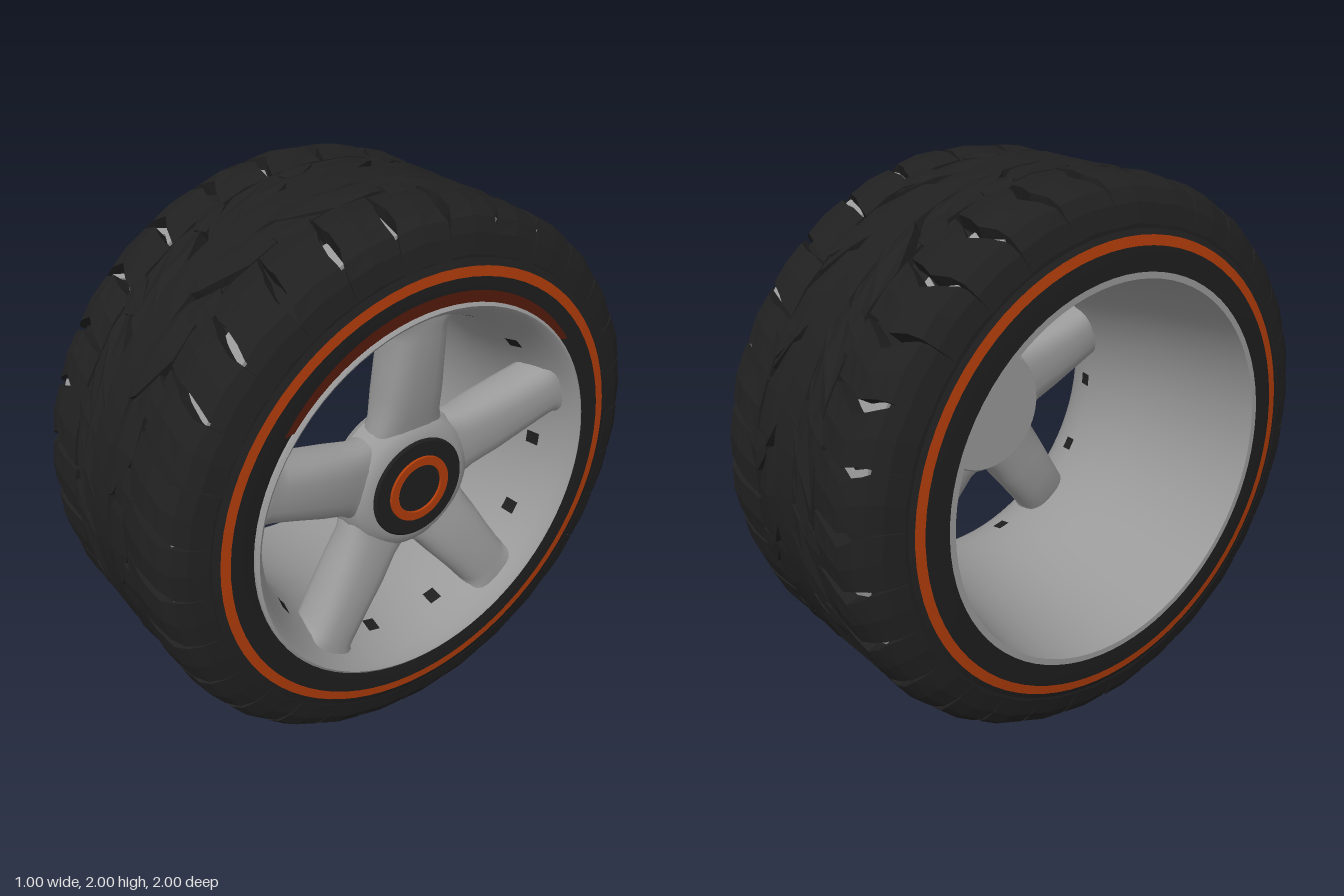
import * as THREE from 'three';
import { mergeGeometries, toCreasedNormals } from 'three/addons/utils/BufferGeometryUtils.js';

const material = (name, color) => {
  const m = new THREE.MeshStandardMaterial({ color });
  m.name = name;
  return m;
};

// Closed skin through equal-length rings of points; flat shaded unless creased later
function loft(rings) {
  const pos = [];
  const tri = (...pts) => pts.forEach((p) => pos.push(p.x, p.y, p.z));
  const n = rings[0].length;
  for (let k = 0; k < rings.length - 1; k++) {
    for (let i = 0; i < n; i++) {
      const j = (i + 1) % n, a = rings[k], b = rings[k + 1];
      tri(a[i], a[j], b[j]);
      tri(a[i], b[j], b[i]);
    }
  }
  const first = rings[0], last = rings[rings.length - 1];
  for (let i = 1; i < n - 1; i++) {
    tri(first[0], first[i + 1], first[i]);
    tri(last[0], last[i], last[i + 1]);
  }
  const g = new THREE.BufferGeometry();
  g.setAttribute('position', new THREE.Float32BufferAttribute(pos, 3));
  g.computeVertexNormals();
  return g;
}

// Rubber block on the tyre; stations run along x as [x, radius, angle offset, half width]
function treadBlock(angle, stations, depth = 0.07, drop = 0.005) {
  return loft(stations.map(([x, r, skew, hw]) => {
    const p = (da, rad) => {
      const a = angle + skew + da;
      return new THREE.Vector3(x, rad * Math.cos(a), rad * Math.sin(a));
    };
    return [p(-hw * 0.95, r - drop), p(0, r), p(hw * 0.95, r - drop), p(hw, r - depth), p(-hw, r - depth)];
  }));
}

export function createModel() {
  const rubber = material('tread rubber', 0x202020);
  const sidewallBlack = material('sidewall black', 0x1e1e1e);
  const orange = material('orange', 0xb03c0a);
  const shade = material('dark red', 0x541a0a);
  const alloy = material('alloy grey', 0x9a9a9a);

  const wheel = new THREE.Group();
  wheel.name = 'wheel';
  wheel.position.y = 1;
  const add = (name, geo, mat) => {
    const mesh = new THREE.Mesh(geo, mat);
    mesh.name = name;
    wheel.add(mesh);
    return mesh;
  };
  // Revolve [radius, x] points around the axle
  const revolve = (name, pts, mat, crease = 0.6, start = 0, sweep = Math.PI * 2) => {
    const segments = Math.ceil((sweep / Math.PI) * 40);
    const g = new THREE.LatheGeometry(pts.map(([r, x]) => new THREE.Vector2(r, x)), segments, start, sweep);
    return add(name, toCreasedNormals(g.rotateZ(-Math.PI / 2), crease), mat);
  };

  // Tyre carcass, sidewalls and stripes
  revolve('tyreCarcass', [[0.817, -0.488], [0.86, -0.47], [0.925, -0.435], [0.94, -0.41],
    [0.94, 0.41], [0.925, 0.435], [0.86, 0.468], [0.817, 0.482]], rubber);
  revolve('rightSidewall', [[0.68, -0.498], [0.74, -0.498], [0.783, -0.493]], sidewallBlack);
  revolve('rightStripe', [[0.783, -0.493], [0.817, -0.488]], orange);
  revolve('leftStripe', [[0.817, 0.482], [0.783, 0.485]], orange);
  revolve('leftSidewall', [[0.783, 0.485], [0.73, 0.486], [0.69, 0.48]], sidewallBlack);

  // Dark red crescent above the rim
  const crescent = new THREE.Shape();
  crescent.absarc(0, 0.04, 0.7, 0.6, Math.PI - 0.6, false);
  crescent.absarc(0, 0, 0.69, Math.PI - 0.7, 0.7, true);
  add('sidewallCrescent', new THREE.ShapeGeometry(crescent, 24).rotateY(Math.PI / 2).translate(0.489, 0, 0), shade);

  // Tread
  let seed = 7;
  const rand = () => (seed = (seed * 16807) % 2147483647) / 2147483647;
  const jitter = (s) => (rand() - 0.5) * s;
  const skewL = (x) => 0.3 * (x - 0.3);
  const skewR = (x) => 0.45 * Math.min(Math.abs(x + 0.33), 0.11);
  const shoulderL = [[0.19, 0.99, 0.104], [0.27, 0.998, 0.1], [0.31, 0.998, 0.09], [0.39, 0.986, 0.088],
    [0.43, 0.96, 0.102], [0.457, 0.915, 0.108], [0.474, 0.85, 0.11]];
  const shoulderR = [[-0.48, 0.85, 0.11], [-0.461, 0.915, 0.108], [-0.43, 0.96, 0.102],
    [-0.39, 0.984, 0.09], [-0.33, 0.998, 0.084], [-0.27, 0.998, 0.092], [-0.19, 0.99, 0.102]];
  const blocks = [], slits = [];
  const pitches = 30;
  for (let i = 0; i < pitches; i++) {
    const a = (i / pitches) * Math.PI * 2;
    // Shoulder blocks wrap over the tyre edge
    for (const [rows, skew, shift] of [[shoulderL, skewL, 0], [shoulderR, skewR, 0.03]]) {
      const lift = jitter(0.006);
      blocks.push(treadBlock(a + shift, rows.map(([x, r, hw]) => [x, r + lift, skew(x), hw])));
    }
    // Pale rim glimpsed through the grooves
    const slit = (xs, skew, shift) => {
      const hw = 0.008 + 0.014 * rand();
      slits.push(treadBlock(a + Math.PI / pitches + shift, xs.map((x) => [x, 0.95, skew(x), hw]), 0.012, 0));
    };
    if (i % 3 !== 2) slit([0.28, 0.35, 0.42], skewL, 0);
    if (i % 3 !== 1) slit([-0.41, -0.33, -0.27], skewR, 0.03);
  }
  const vPitches = 18;
  for (let i = 0; i < vPitches; i++) {
    const a = (i / vPitches) * Math.PI * 2;
    // Slanted centre blocks meet in a V
    blocks.push(treadBlock(a + jitter(0.05), [[-0.18, 0.992, -0.13, 0.15], [-0.1, 1, 0, 0.17], [0, 0.992, 0.14, 0.11]]));
    blocks.push(treadBlock(a + 0.17 + jitter(0.05), [[0.02, 0.992, 0.14, 0.1], [0.1, 1, 0.02, 0.17], [0.18, 0.99, -0.12, 0.15]]));
    // Small angular lugs between the rows
    blocks.push(treadBlock(a + jitter(0.1), [[0.12, 0.993, 0.02, 0.03], [0.17, 0.999, -0.02, 0.07], [0.23, 0.99, 0, 0.05]]));
    blocks.push(treadBlock(a + 0.1 + jitter(0.1), [[-0.21, 0.99, 0, 0.05], [-0.16, 0.998, 0.03, 0.07], [-0.11, 0.992, 0.06, 0.02]]));
  }
  add('treadBlocks', mergeGeometries(blocks), rubber);
  add('grooveSlits', mergeGeometries(slits), alloy);
  revolve('centreRib', [[0.93, -0.07], [0.99, -0.06], [0.995, 0.01], [0.99, 0.07], [0.93, 0.08]], rubber);

  // Rim lip and barrel, open on the right
  revolve('rimBarrel', [[0.7, 0.44], [0.7, 0.493], [0.69, 0.5], [0.68, 0.493], [0.66, 0.462], [0.63, 0.41],
    [0.608, 0.33], [0.593, 0.2], [0.6, 0.05], [0.622, -0.1], [0.645, -0.28], [0.67, -0.44], [0.678, -0.5],
    [0.7, -0.5]], alloy, 0.9);

  // Five rounded spokes running into the lip: [radius, half width, front x, half depth]
  const spokeStations = [[0.08, 0.17, 0.37, 0.07], [0.2, 0.15, 0.385, 0.075], [0.26, 0.128, 0.4, 0.08],
    [0.36, 0.122, 0.42, 0.09], [0.48, 0.112, 0.435, 0.095], [0.58, 0.106, 0.445, 0.095], [0.62, 0.108, 0.447, 0.09],
    [0.645, 0.13, 0.45, 0.085], [0.67, 0.15, 0.45, 0.08]];
  const bulge = (v) => Math.sign(v) * Math.abs(v) ** 0.7;
  const spoke = toCreasedNormals(loft(spokeStations.map(([r, w, front, d]) =>
    Array.from({ length: 24 }, (_, i) => {
      const t = (i / 24) * Math.PI * 2;
      return new THREE.Vector3(front - d + d * bulge(Math.sin(t)), r, w * bulge(Math.cos(t)));
    }))), 0.9);
  for (let i = 0; i < 5; i++) {
    const angle = (i * Math.PI * 2) / 5;
    add('spoke', spoke, alloy).rotation.x = angle;
    // Dark openings in the barrel beside each spoke
    for (const side of [-1, 1]) {
      revolve('barrelOpening', [[0.614, 0.37], [0.602, 0.32]], sidewallBlack, 0.6, -0.04, 0.08)
        .rotation.x = angle + Math.PI / 2 + side * 0.24;
    }
  }
  wheel.children.filter((m) => m.name === 'barrelOpening').forEach((m) => m.geometry.scale(1, -1, -1).rotateX(Math.PI));

  // Hub with dark cap and orange ring
  revolve('hub', [[0, 0.23], [0.24, 0.23], [0.265, 0.27], [0.262, 0.34], [0.237, 0.385], [0.2, 0.405], [0.18, 0.407]], alloy);
  revolve('hubCap', [[0.187, 0.38], [0.187, 0.412], [0.18, 0.417], [0, 0.417]], sidewallBlack);
  revolve('hubRing', [[0.125, 0.414], [0.123, 0.425], [0.092, 0.425], [0.09, 0.414]], orange);

  const model = new THREE.Group();
  model.name = 'model';
  model.add(wheel);
  return model;
}
